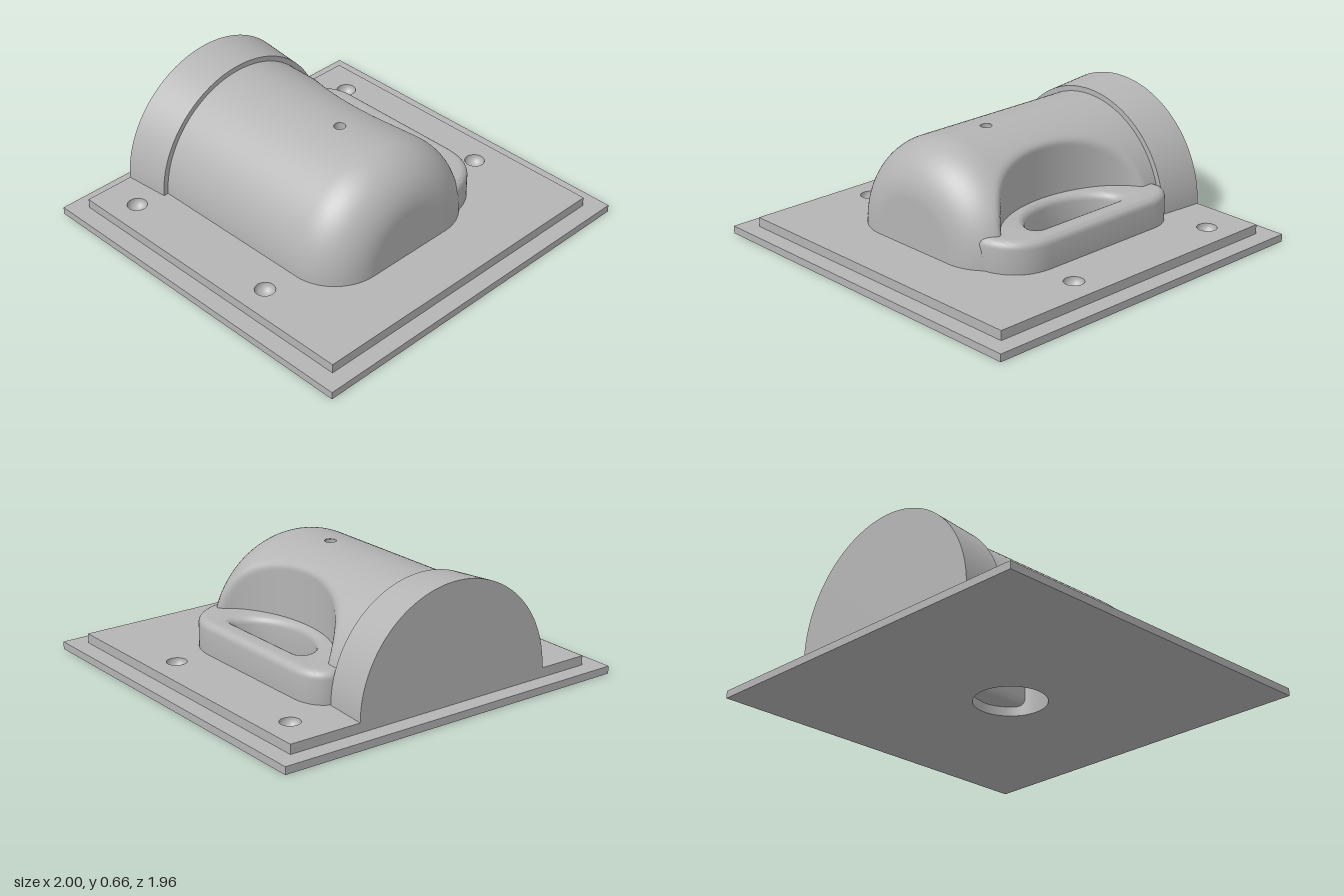
import * as THREE from 'three';
import { toCreasedNormals } from 'three/addons/utils/BufferGeometryUtils.js';

const AXIS_X = -0.06, DECK = 0.09, R = 0.522;      // axis of the half cup, lying on the deck
const PIN = { x: AXIS_X, z: 0.085, r: 0.03 };
const SOCKET = { x: 0.03, z: 0.05, r: 0.19, top: 0.165 };
const DIMPLES = [-0.755, 0.755].flatMap(x => [-0.68, 0.275].map(z => ({ x, z, r: 0.052 })));
const SEGS = 96;

const grey = new THREE.MeshStandardMaterial({ color: 0xb4b4b4, side: THREE.DoubleSide });
grey.name = 'grey';

function part(name, geometry, x = 0, y = 0, z = 0) {
  const mesh = new THREE.Mesh(geometry, grey);
  mesh.name = name;
  mesh.position.set(x, y, z);
  return mesh;
}

// Plan shapes are drawn as (x, -z) and laid flat
const lay = geometry => geometry.rotateX(-Math.PI / 2);
const circle = ({ x, z, r }) => new THREE.Path().absarc(x, -z, r, 0, Math.PI * 2, true);

function plate(hx, hz, depth, holes) {
  const s = new THREE.Shape([[-hx, -hz], [hx, -hz], [hx, hz], [-hx, hz]].map(p => new THREE.Vector2(...p)));
  s.holes = holes.map(circle);
  return toCreasedNormals(lay(new THREE.ExtrudeGeometry(s, { depth, bevelEnabled: false, curveSegments: 24 })), 0.6);
}

// Half lathe around the z axis, upper side only; profile holds [radius, z] from back to front
function halfLathe(profile) {
  const pts = profile.map(([r, z]) => new THREE.Vector2(r, z));
  return new THREE.LatheGeometry(pts, SEGS, Math.PI / 2, Math.PI).rotateX(Math.PI / 2);
}

// Upright scooped wall beside the handle: greatest x allowed at each z
function wallX(z) {
  const d = (z + 0.055) / 0.5;
  return Math.abs(d) < 1 ? 0.52 - 0.325 * Math.sqrt(1 - d * d) : 10;
}
function smoothMin(a, b, k) {
  const h = Math.max(k - Math.abs(a - b), 0) / k;
  return Math.min(a, b) - h * h * k / 4;
}

const patchX = R * Math.sin(3 * Math.PI / SEGS), patchZ = 0.05;

function cupBody() {
  const profile = [];
  for (let i = 0; i <= 76; i++) profile.push([R, -0.64 + i * 0.0125]);
  for (let i = 1; i <= 20; i++) {
    const a = i / 20 * Math.PI / 2;
    profile.push([R - 0.265 + 0.265 * Math.cos(a), 0.31 + 0.265 * Math.sin(a)]);
  }
  profile.push([0.13, 0.575], [0, 0.575]);
  const g = halfLathe(profile), p = g.attributes.position;
  // leave out the square that the pin hole patch fills
  const index = [];
  for (let i = 0; i < g.index.count; i += 3) {
    const t = [0, 1, 2].map(k => g.index.getX(i + k));
    const mean = f => t.reduce((sum, v) => sum + f(v) / 3, 0);
    const inside = Math.abs(mean(v => p.getX(v))) < patchX && mean(v => p.getY(v)) > 0.4
      && Math.abs(mean(v => p.getZ(v)) - PIN.z) < patchZ;
    if (!inside) index.push(...t);
  }
  g.setIndex(index);
  // press the side in to make the scooped wall
  for (let i = 0; i < p.count; i++) {
    p.setX(i, smoothMin(p.getX(i), wallX(p.getZ(i)) - AXIS_X, 0.04));
  }
  g.computeVertexNormals();
  return g;
}

// Curved square with a round hole, closing the gap in the body
function pinPatch() {
  const s = new THREE.Shape(), arc = [];
  for (let i = -3; i <= 3; i++) arc.push(R * Math.sin(i * Math.PI / SEGS));
  s.setFromPoints([...arc.map(x => new THREE.Vector2(x, -patchZ)),
    ...arc.reverse().map(x => new THREE.Vector2(x, patchZ))]);
  s.holes = [circle({ x: 0, z: 0, r: PIN.r })];
  const g = lay(new THREE.ShapeGeometry(s, 16)), p = g.attributes.position, n = g.attributes.normal;
  for (let i = 0; i < p.count; i++) {
    const x = p.getX(i), y = Math.sqrt(R * R - x * x);
    p.setY(i, y);
    n.setXYZ(i, x / R, y / R, 0);
  }
  return g;
}

function handleGeometry() {
  const s = new THREE.Shape();
  s.moveTo(0.1, 0.64);
  s.lineTo(0.47, 0.64);
  s.bezierCurveTo(0.53, 0.63, 0.58, 0.56, 0.58, 0.47);
  s.lineTo(0.58, -0.25);
  s.bezierCurveTo(0.58, -0.4, 0.49, -0.49, 0.35, -0.51);
  s.lineTo(0.1, -0.42);
  s.closePath();
  // D-shaped finger opening
  const h = new THREE.Path();
  h.moveTo(0.46, 0.32);
  h.quadraticCurveTo(0.46, 0.36, 0.42, 0.36);
  h.bezierCurveTo(0.31, 0.34, 0.237, 0.2, 0.237, 0.06);
  h.bezierCurveTo(0.237, -0.08, 0.31, -0.22, 0.42, -0.24);
  h.quadraticCurveTo(0.46, -0.24, 0.46, -0.2);
  h.closePath();
  s.holes = [h];
  const b = 0.04;
  return toCreasedNormals(lay(new THREE.ExtrudeGeometry(s, {
    depth: 0.125, bevelSize: b, bevelThickness: b, bevelOffset: -b, bevelSegments: 6, curveSegments: 16,
  })), 0.6);
}

export function createModel() {
  const model = new THREE.Group();
  model.name = 'mugMouldHalf';

  // Stepped base
  model.add(part('lowerPlate', plate(1, 0.98, 0.04, [SOCKET])));
  model.add(part('upperPlate', plate(0.905, 0.888, 0.05, [SOCKET, ...DIMPLES]), 0, 0.04, 0));

  // Round locating dimples
  const bowl = [];
  for (let i = 0; i <= 10; i++) {
    const a = i / 10 * Math.PI / 2;
    bowl.push(new THREE.Vector2(0.052 * Math.sin(a), -0.049 * Math.cos(a)));
  }
  const bowlGeometry = new THREE.LatheGeometry(bowl, 28);
  for (const d of DIMPLES) model.add(part('locatingDimple', bowlGeometry, d.x, DECK, d.z));

  // Half cup with rim
  model.add(part('cupBody', cupBody(), AXIS_X, DECK, 0));
  model.add(part('pinHolePatch', pinPatch(), AXIS_X, DECK, PIN.z));
  const rim = halfLathe([[0, -0.888], [0.57, -0.888], [0.55, -0.64], [0.48, -0.64]]);
  model.add(part('cupRim', toCreasedNormals(rim, 0.5), AXIS_X, DECK, 0));

  // Handle
  model.add(part('handle', handleGeometry(), 0, 0.09, 0));

  // Socket underneath and the narrow pin hole rising through the cup
  const tube = (r, y0, y1) => new THREE.CylinderGeometry(r, r, y1 - y0, 40, 1, true).translate(0, (y0 + y1) / 2, 0);
  model.add(part('socketWall', tube(SOCKET.r, 0, SOCKET.top), SOCKET.x, 0, SOCKET.z));
  const ceiling = new THREE.Shape().absarc(SOCKET.x, -SOCKET.z, SOCKET.r, 0, Math.PI * 2);
  ceiling.holes = [circle(PIN)];
  model.add(part('socketCeiling', lay(new THREE.ShapeGeometry(ceiling, 24)), 0, SOCKET.top, 0));
  model.add(part('pinHoleWall', tube(PIN.r, SOCKET.top, DECK + R - 0.001), PIN.x, 0, PIN.z));

  return model;
}
